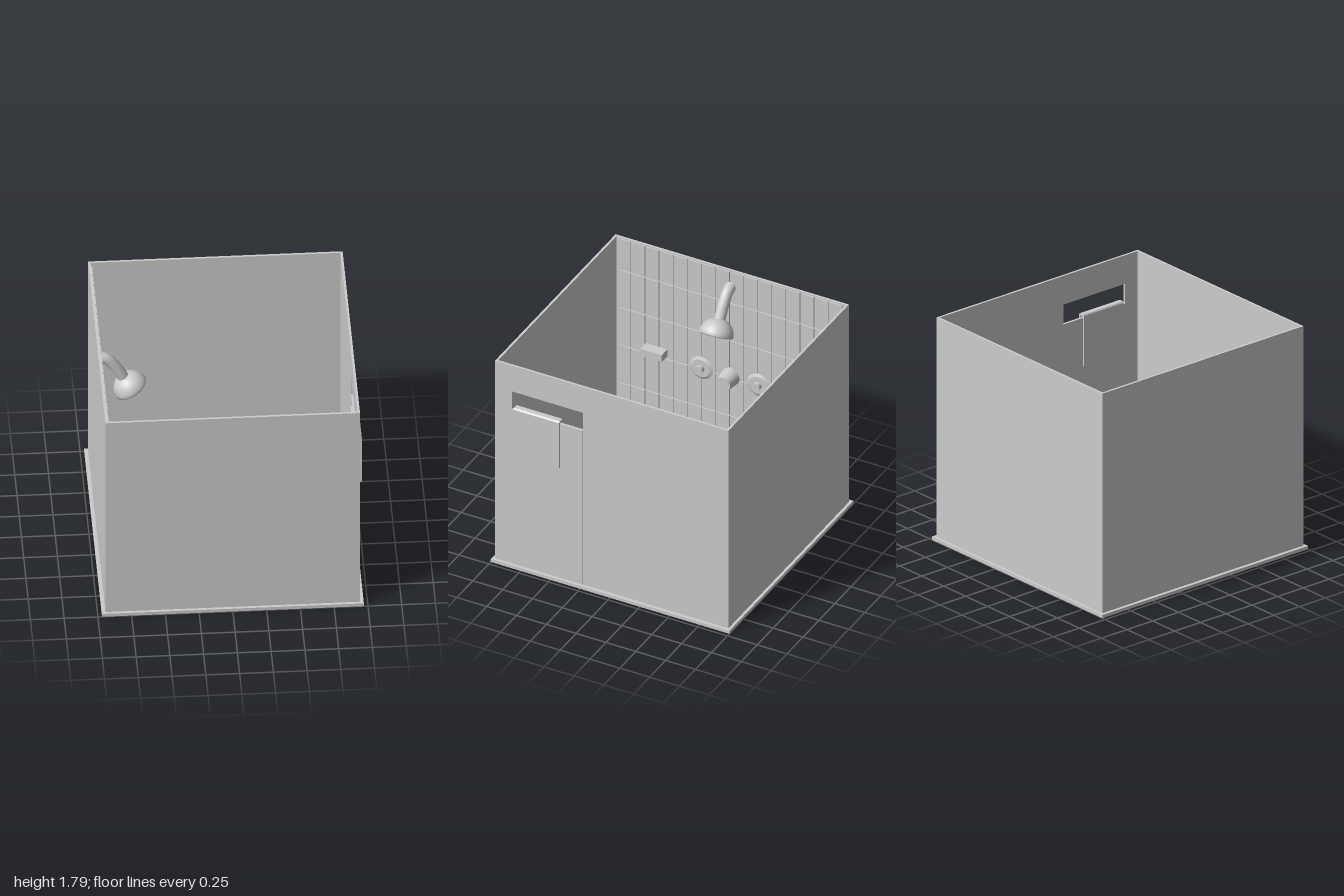
import * as THREE from 'three';
import { mergeGeometries } from 'three/addons/utils/BufferGeometryUtils.js';

const grey = new THREE.MeshStandardMaterial({ color: 0xcccccc, side: THREE.DoubleSide });

export function createModel() {
  const root = new THREE.Group();

  const add = (name, geometry, x = 0, y = 0, z = 0) => {
    const mesh = new THREE.Mesh(geometry, grey);
    mesh.name = name;
    mesh.position.set(x, y, z);
    root.add(mesh);
    return mesh;
  };
  // Box given by its limits on each axis
  const boxGeo = (x0, x1, y0, y1, z0, z1) =>
    new THREE.BoxGeometry(x1 - x0, y1 - y0, z1 - z0)
      .translate((x0 + x1) / 2, (y0 + y1) / 2, (z0 + z1) / 2);
  const box = (name, ...limits) => add(name, boxGeo(...limits));
  const rect = (Type, x0, x1, y0, y1) => new Type([
    new THREE.Vector2(x0, y0), new THREE.Vector2(x1, y0),
    new THREE.Vector2(x1, y1), new THREE.Vector2(x0, y1),
  ]);

  // Base: a frame around a recessed, tiled floor
  const frame = rect(THREE.Shape, -0.97, 0.97, -1, 1);
  frame.holes.push(rect(THREE.Path, -0.9, 0.9, -0.928, 0.928));
  add('baseFrame', new THREE.ExtrudeGeometry(frame, { depth: 0.026, bevelEnabled: false })
    .rotateX(-Math.PI / 2));
  box('floorGrout', -0.9, 0.9, 0.015, 0.02, -0.928, 0.928);

  const n = 16, gap = 0.006;
  const floorTiles = [];
  const dx = 1.8 / n, dz = 1.856 / n;
  for (let i = 0; i < n; i++) {
    for (let j = 0; j < n; j++) {
      const x = -0.9 + i * dx, z = -0.928 + j * dz;
      floorTiles.push(boxGeo(x + gap, x + dx - gap, 0.01, 0.028, z + gap, z + dz - gap));
    }
  }
  add('floorTiles', mergeGeometries(floorTiles));

  // Plain walls
  const top = 1.79, low = 0.026, t = 0.018;
  box('frontWall', -0.943, 0.943, low, top, 0.978 - t, 0.978);
  box('backWall', -0.943, 0.943, low, top, -0.978, -0.978 + t);
  box('rightWall', -0.943, -0.943 + t, low, top, -0.96, 0.96);

  // Wall with the window slot
  const leftShape = rect(THREE.Shape, -0.96, 0.96, low, top);
  leftShape.holes.push(rect(THREE.Path, -0.838, -0.242, 1.4, 1.56));
  add('leftWall', new THREE.ExtrudeGeometry(leftShape, { depth: t, bevelEnabled: false })
    .rotateY(Math.PI / 2), 0.943 - t);
  box('doorPanel', 0.94, 0.945, low, 1.4, 0.242, 0.838);

  // Tall tiles on one inner wall
  const rows = [0.03, 0.165, 0.5, 0.835, 1.17, 1.505, 1.785];
  const wallTiles = [];
  const dw = 1.89 / n;
  for (let j = 0; j < n; j++) {
    const z = -0.94 + j * dw;
    for (let r = 0; r < rows.length - 1; r++) {
      wallTiles.push(boxGeo(-0.926, -0.915, rows[r] + gap, rows[r + 1] - gap,
        z + gap, Math.min(z + dw - gap, 0.958)));
    }
  }
  add('wallTiles', mergeGeometries(wallTiles));

  // Towel folded over the window sill
  const towel = new THREE.Group();
  towel.name = 'towel';
  const fold = new THREE.Shape();
  fold.moveTo(0.91, 1.015);
  fold.lineTo(0.91, 1.42);
  fold.lineTo(0.916, 1.43);
  fold.lineTo(0.955, 1.43);
  fold.lineTo(0.968, 1.42);
  fold.lineTo(0.968, 1.015);
  fold.lineTo(0.956, 1.015);
  fold.lineTo(0.956, 1.41);
  fold.lineTo(0.92, 1.41);
  fold.lineTo(0.92, 1.015);
  const towelMesh = new THREE.Mesh(
    new THREE.ExtrudeGeometry(fold, { depth: 0.385, bevelEnabled: false }), grey);
  towelMesh.position.z = 0.428;
  towelMesh.name = 'towelCloth';
  towel.add(towelMesh);
  root.add(towel);

  // Shower arm and tilted bell-shaped head
  const armPath = new THREE.CatmullRomCurve3([
    new THREE.Vector3(-0.925, 1.655, 0),
    new THREE.Vector3(-0.87, 1.635, 0),
    new THREE.Vector3(-0.805, 1.56, 0),
    new THREE.Vector3(-0.735, 1.44, 0),
  ]);
  add('showerArm', new THREE.TubeGeometry(armPath, 20, 0.043, 16));
  const bell = [[0, 0], [0.118, 0], [0.13, 0.008]];
  for (let i = 1; i <= 8; i++) {
    const a = (i / 8) * Math.PI / 2;
    bell.push([0.13 * Math.cos(a), 0.008 + 0.128 * Math.sin(a)]);
  }
  const head = add('showerHead', new THREE.LatheGeometry(
    bell.map(([r, y]) => new THREE.Vector2(Math.max(r, 0), y)), 32), -0.685, 1.353, 0);
  head.rotation.z = Math.PI / 6;

  // Taps either side of the spout
  const tapY = 0.85;
  for (const z of [-0.235, 0.245]) {
    const plate = add('tapPlate', new THREE.CylinderGeometry(0.075, 0.1, 0.012, 24), -0.91, tapY, z);
    plate.rotation.z = -Math.PI / 2;
    const knob = add('tapKnob', new THREE.CylinderGeometry(0.032, 0.032, 0.04, 16), -0.89, tapY, z);
    knob.rotation.z = -Math.PI / 2;
  }
  const spout = add('spout', new THREE.CylinderGeometry(0.06, 0.076, 0.13, 24), -0.86, tapY, 0);
  spout.rotation.z = -Math.PI / 2;

  // Soap shelf
  box('soapShelf', -0.92, -0.828, 0.86, 0.92, 0.53, 0.71);

  return root;
}
